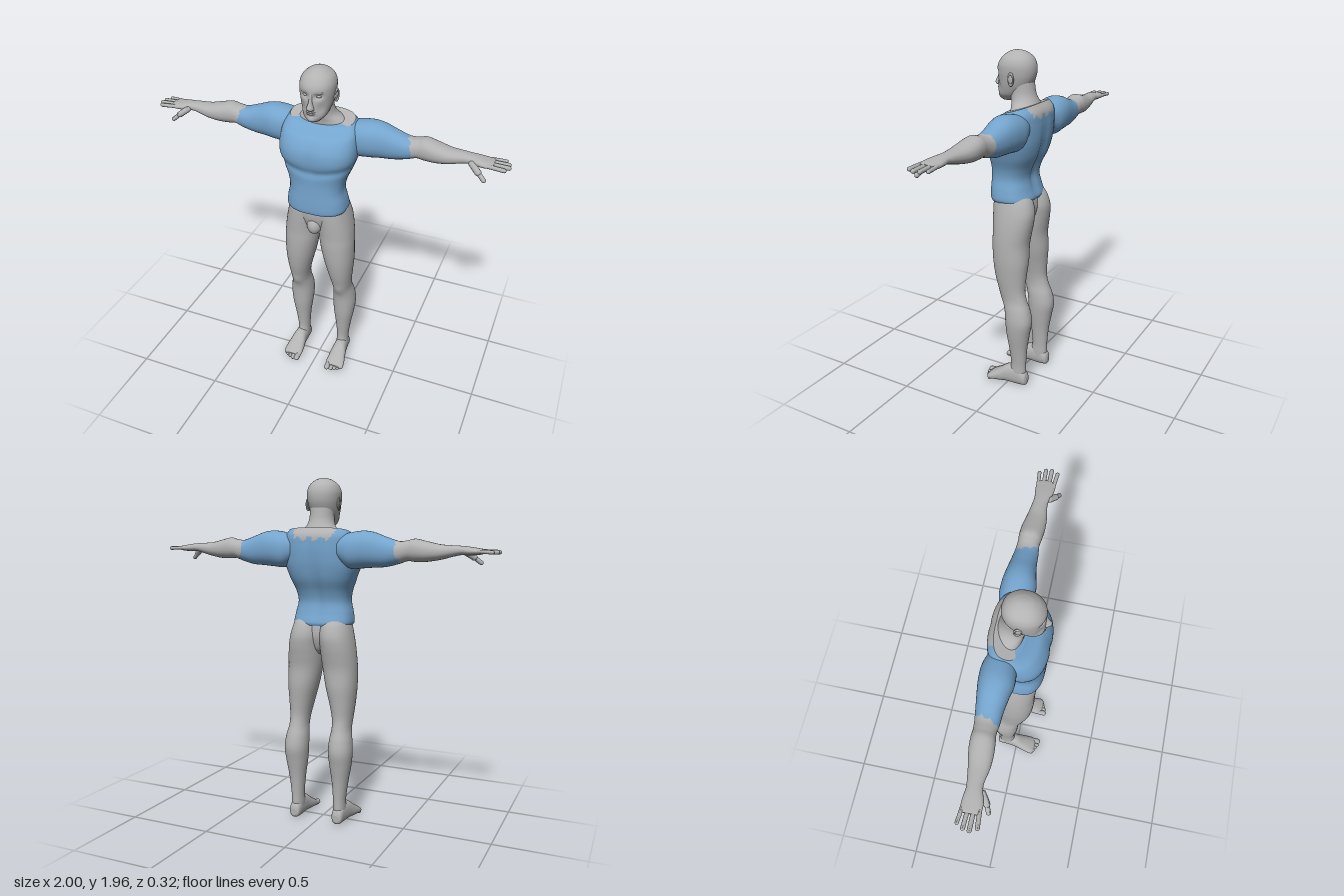
import * as THREE from 'three';

const skin = new THREE.MeshStandardMaterial({ color: 0xb2b2b2 });
skin.name = 'grey skin';
const cloth = new THREE.MeshStandardMaterial({ color: 0x74a4cd });
cloth.name = 'blue cloth';

const bump = (d, w) => Math.exp(-(d * d) / (w * w));
const sym = (rows) => rows.map(([y, x, ...r]) => [y, -x, x, ...r]);

// Smooth loft. Rows: [position on axis, uMin, uMax, vMin, vMax, tilt].
// Axis y: u = x, v = z.  Axis x: u = z, v = y.  Axis z: u = y, v = x.
function loft(axis, rows, { n = 2, sides = 40, steps = 5, warp, isCloth } = {}) {
  rows = rows.map((r) => [...r, 0].slice(0, 6)).sort((a, b) => a[0] - b[0]);
  const spline = new THREE.CubicInterpolant(rows.map((_, i) => i), rows.flat(), 6);
  const place = {
    x: (t, u, v) => new THREE.Vector3(t, v, u),
    y: (t, u, v) => new THREE.Vector3(u, t, v),
    z: (t, u, v) => new THREE.Vector3(v, u, t),
  }[axis];
  const pts = [], tris = [], rings = (rows.length - 1) * steps;
  const round = (c) => Math.sign(c) * Math.abs(c) ** (2 / n);
  for (let i = 0; i <= rings; i++) {
    const [t, u0, u1, v0, v1, tilt] = spline.evaluate(i / steps);
    for (let j = 0; j < sides; j++) {
      const a = (j / sides) * Math.PI * 2;
      const dv = (round(Math.sin(a)) * (v1 - v0)) / 2;
      const p = place(t - tilt * dv, (u0 + u1) / 2 + (round(Math.cos(a)) * (u1 - u0)) / 2, (v0 + v1) / 2 + dv);
      if (warp) warp(p);
      pts.push(p);
    }
  }
  for (let i = 0; i < rings; i++) {
    for (let j = 0; j < sides; j++) {
      const a = i * sides + j, b = i * sides + ((j + 1) % sides);
      tris.push([a, a + sides, b], [b, a + sides, b + sides]);
    }
  }
  // End caps on their own vertices so the rims stay crisp
  for (const end of [0, rings]) {
    const ring = pts.slice(end * sides, (end + 1) * sides).map((p) => p.clone());
    const mid = ring.reduce((s, p) => s.add(p), new THREE.Vector3()).divideScalar(sides);
    const base = pts.length;
    pts.push(...ring, mid);
    for (let j = 0; j < sides; j++) {
      const a = base + j, b = base + ((j + 1) % sides);
      tris.push(end ? [a, base + sides, b] : [b, base + sides, a]);
    }
  }
  const geo = new THREE.BufferGeometry().setFromPoints(pts);
  if (isCloth) {
    const parts = [[], []];
    for (const t of tris) {
      const c = new THREE.Vector3();
      t.forEach((k) => c.addScaledVector(pts[k], 1 / 3));
      parts[isCloth(c) ? 1 : 0].push(...t);
    }
    geo.setIndex(parts.flat());
    geo.addGroup(0, parts[0].length, 0);
    geo.addGroup(parts[0].length, parts[1].length, 1);
  } else geo.setIndex(tris.flat());
  geo.computeVertexNormals();
  return geo;
}

// Mirror image across x = 0, with the face order turned round
function mirrored(geo) {
  const m = geo.clone().scale(-1, 1, 1), ix = m.index.array;
  for (let i = 0; i < ix.length; i += 3) [ix[i], ix[i + 1]] = [ix[i + 1], ix[i]];
  m.computeVertexNormals();
  return m;
}

// Rounded rod between two points
function rod(a, b, r) {
  const A = new THREE.Vector3(...a), B = new THREE.Vector3(...b), d = B.clone().sub(A);
  const geo = new THREE.CapsuleGeometry(r, d.length(), 5, 12);
  const q = new THREE.Quaternion().setFromUnitVectors(new THREE.Vector3(0, 1, 0), d.normalize());
  const mid = A.add(B).multiplyScalar(0.5);
  return geo.applyQuaternion(q).translate(mid.x, mid.y, mid.z);
}

const blob = (x, y, z, rx, ry, rz) => new THREE.SphereGeometry(1, 24, 16).scale(rx, ry, rz).translate(x, y, z);

export function createModel() {
  const model = new THREE.Group();
  model.name = 'figure';
  const add = (name, geo, mat = skin) => {
    const mesh = new THREE.Mesh(geo, mat);
    mesh.name = name;
    model.add(mesh);
  };
  const pair = (name, geo, mat) => {
    add('left ' + name, geo, mat);
    add('right ' + name, mirrored(geo), mat);
  };

  // Shirt body, with chest, belly and spine modelling; open at the nape
  const torso = sym([
    [1.15, 0.165, -0.106, 0.136], [1.17, 0.172, -0.11, 0.14], [1.22, 0.165, -0.095, 0.14],
    [1.28, 0.152, -0.085, 0.138], [1.34, 0.16, -0.1, 0.138], [1.41, 0.188, -0.132, 0.145],
    [1.48, 0.212, -0.15, 0.157], [1.54, 0.216, -0.157, 0.15], [1.6, 0.21, -0.158, 0.115],
    [1.64, 0.2, -0.152, 0.07, 0.12], [1.67, 0.18, -0.122, 0.035, 0.3],
  ]);
  add('shirt body', loft('y', torso, {
    n: 2.6, sides: 64, steps: 6,
    warp: (p) => {
      const mid = bump(p.x, 0.025);
      if (p.z < -0.05) p.z += 0.016 * mid * bump(p.y - 1.38, 0.2);
      if (p.z > 0.05) {
        p.z -= 0.008 * mid * bump(p.y - 1.48, 0.1);
        p.z -= 0.009 * bump(p.y - 1.405 - Math.abs(p.x) * 0.15, 0.022);
      }
    },
    isCloth: (c) => !(c.y > 1.66 && Math.abs(c.x) < 0.125 && c.z < 0.02)
      && !(c.z < -0.07 && Math.abs(c.x) < 0.11 && c.y > 1.635 + 0.012 * Math.sin(c.x * 90)),
  }), [skin, cloth]);

  // Arms: sleeve and bare forearm in one surface
  pair('arm', loft('x', [
    [0.14, -0.14, 0, 1.51, 1.65], [0.2, -0.157, 0.02, 1.472, 1.667], [0.27, -0.157, 0.024, 1.475, 1.676],
    [0.33, -0.15, 0.012, 1.48, 1.668], [0.4, -0.14, 0, 1.485, 1.643], [0.47, -0.13, -0.005, 1.502, 1.622],
    [0.52, -0.125, -0.01, 1.518, 1.627], [0.56, -0.127, -0.005, 1.515, 1.635], [0.62, -0.124, 0, 1.516, 1.622],
    [0.69, -0.11, -0.003, 1.527, 1.607], [0.76, -0.098, -0.015, 1.545, 1.602], [0.8, -0.093, -0.012, 1.553, 1.6],
    [0.84, -0.098, 0, 1.552, 1.596], [0.88, -0.1, 0.005, 1.554, 1.59], [0.905, -0.098, 0, 1.558, 1.586],
    [0.915, -0.09, -0.006, 1.562, 1.582],
  ], {
    n: 2.2, steps: 6,
    isCloth: (c) => c.x < 0.485 + 0.3 * (c.z + 0.06) - 0.25 * (c.y - 1.56) + 0.006 * Math.sin(c.z * 150),
  }), [skin, cloth]);

  // Fingers, little finger at the back, and thumb
  [[-0.09, -0.098, 0.965, 0.01], [-0.062, -0.066, 0.984, 0.011], [-0.034, -0.034, 0.989, 0.0115], [-0.007, 0.0, 0.972, 0.011]]
    .forEach(([z0, z1, x, r], i) => pair('finger ' + (i + 1), rod([0.89, 1.573, z0], [x, 1.57, z1], r)));
  pair('thumb base', rod([0.81, 1.568, -0.012], [0.85, 1.54, 0.015], 0.017));
  pair('thumb tip', rod([0.85, 1.54, 0.015], [0.884, 1.512, 0.03], 0.012));

  // Hips and legs
  add('pelvis', loft('y', sym([
    [0.985, 0.03, -0.05, 0.04], [1.02, 0.08, -0.08, 0.085], [1.08, 0.13, -0.1, 0.105],
    [1.13, 0.155, -0.1, 0.112], [1.19, 0.158, -0.09, 0.11],
  ]), { n: 2.3 }));
  add('groin', blob(0, 1.045, 0.08, 0.042, 0.055, 0.042));
  pair('leg', loft('y', [
    [1.19, 0, 0.155, -0.09, 0.1], [1.15, -0.004, 0.169, -0.118, 0.108], [1.09, -0.005, 0.184, -0.135, 0.108],
    [1.03, 0, 0.195, -0.132, 0.105], [0.97, 0.004, 0.202, -0.122, 0.102], [0.9, 0.012, 0.206, -0.112, 0.102],
    [0.8, 0.032, 0.206, -0.114, 0.095], [0.7, 0.058, 0.198, -0.106, 0.078], [0.62, 0.076, 0.19, -0.103, 0.055],
    [0.56, 0.081, 0.188, -0.116, 0.034], [0.5, 0.074, 0.199, -0.138, 0.017], [0.43, 0.071, 0.206, -0.15, 0.01],
    [0.35, 0.077, 0.199, -0.137, 0.004], [0.25, 0.09, 0.182, -0.121, -0.01], [0.15, 0.098, 0.169, -0.114, -0.02],
    [0.09, 0.098, 0.168, -0.114, -0.01], [0.05, 0.1, 0.166, -0.11, -0.01],
  ], { n: 2.15, warp: (p) => { if (p.z > 0) p.z += 0.008 * bump(p.y - 0.575, 0.035) * bump(p.x - 0.135, 0.03); } }));

  // Feet
  pair('foot', loft('z', [
    [-0.125, 0.018, 0.06, 0.118, 0.15], [-0.112, 0.006, 0.09, 0.103, 0.166], [-0.06, 0, 0.122, 0.099, 0.171],
    [0, 0.002, 0.118, 0.096, 0.18], [0.05, 0, 0.085, 0.089, 0.192], [0.095, 0, 0.056, 0.086, 0.2],
    [0.115, 0.002, 0.042, 0.09, 0.198], [0.125, 0.008, 0.032, 0.098, 0.185],
  ], { n: 2.3, sides: 32 }));
  [[0.104, 0.14, 0.017], [0.131, 0.14, 0.012], [0.151, 0.131, 0.0115], [0.17, 0.122, 0.011], [0.187, 0.108, 0.0105]]
    .forEach(([x, z, r], i) => pair('toe ' + (i + 1), rod([x, 0.025, 0.085], [x, r + 0.001, z], r)));

  // Neck and sloping shoulders
  add('neck', loft('y', sym([
    [1.6, 0.16, -0.135, 0.02], [1.645, 0.15, -0.13, 0.025], [1.672, 0.118, -0.12, 0.03],
    [1.7, 0.084, -0.106, 0.04], [1.74, 0.07, -0.09, 0.05], [1.8, 0.068, -0.08, 0.05],
  ])));

  // Head, with eye sockets, temples and cheeks pressed in by rule
  add('head', loft('y', sym([
    [1.695, 0.028, 0.03, 0.1], [1.705, 0.04, 0.012, 0.116], [1.73, 0.062, -0.02, 0.124],
    [1.77, 0.077, -0.06, 0.125], [1.81, 0.086, -0.082, 0.123], [1.85, 0.092, -0.092, 0.125],
    [1.89, 0.092, -0.09, 0.119], [1.925, 0.078, -0.074, 0.097], [1.95, 0.047, -0.044, 0.066],
    [1.96, 0.022, -0.018, 0.04], [1.963, 0.006, -0.002, 0.022],
  ]), {
    n: 2.15, sides: 64, steps: 7,
    warp: (p) => {
      if (p.z < 0.04) return;
      const ax = Math.abs(p.x);
      p.z -= 0.016 * bump(ax - 0.036, 0.022) * bump(p.y - 1.842, 0.016);
      p.z -= 0.01 * bump(ax - 0.05, 0.02) * bump(p.y - 1.775, 0.03);
      p.z -= 0.006 * bump(p.x, 0.03) * bump(p.y - 1.735, 0.009);
    },
  }));
  add('nose', loft('y', sym([
    [1.768, 0.012, 0.1, 0.13], [1.775, 0.02, 0.1, 0.146], [1.787, 0.018, 0.1, 0.151],
    [1.81, 0.011, 0.1, 0.14], [1.835, 0.009, 0.1, 0.13], [1.86, 0.012, 0.1, 0.124],
  ]), { sides: 24 }));
  add('upper lip', blob(0, 1.759, 0.12, 0.026, 0.005, 0.011));
  add('lower lip', blob(0, 1.748, 0.119, 0.022, 0.006, 0.011));
  add('chin', blob(0, 1.717, 0.106, 0.026, 0.018, 0.018));
  pair('eye', blob(0.035, 1.842, 0.098, 0.015, 0.008, 0.012));
  pair('brow', rod([0.015, 1.862, 0.115], [0.052, 1.864, 0.101], 0.007));

  // Ears: a flat shell with a raised rim
  pair('ear shell', blob(0.09, 1.82, 0.005, 0.007, 0.03, 0.017));
  pair('ear rim', new THREE.TorusGeometry(0.02, 0.005, 8, 24).scale(0.85, 1.5, 1)
    .rotateY(Math.PI / 2 - 0.25).translate(0.094, 1.82, 0.003));
  return model;
}
